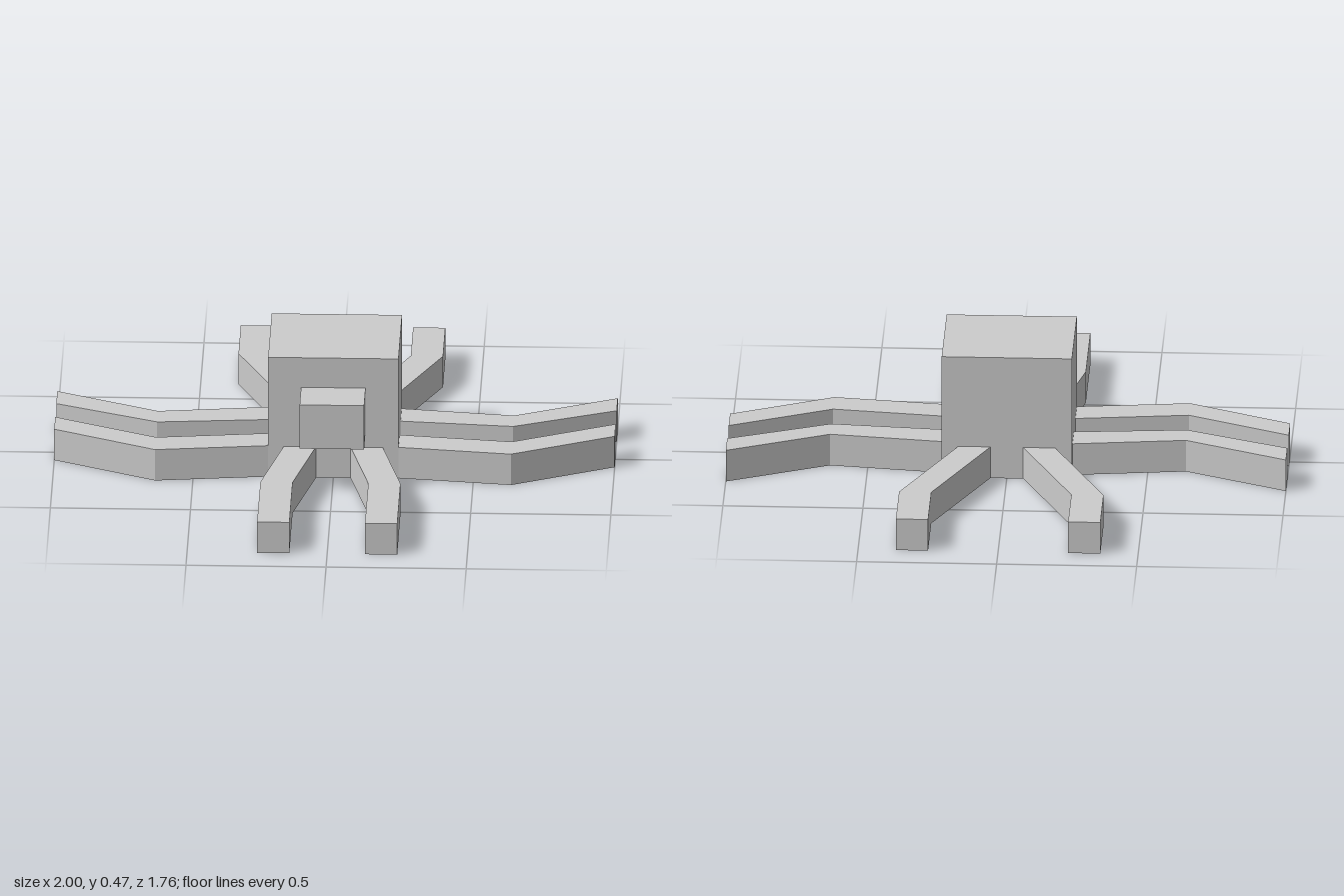
import * as THREE from 'three';

const LEG_HEIGHT = 0.12;

// Leg outlines on the ground plane as [x, z], for the model's left side
const LEGS = {
  frontLeg: [[0.06, 0.19], [0.135, 0.52], [0.135, 0.88], [0.25, 0.88], [0.25, 0.52], [0.175, 0.19]],
  frontSideLeg: [[0.22, 0.08], [0.635, 0.13], [1, -0.04], [1, 0.07], [0.635, 0.242], [0.22, 0.192]],
  rearSideLeg: [[0.22, -0.157], [0.635, -0.105], [1, -0.272], [1, -0.16], [0.635, -0.007], [0.22, -0.043]],
  rearLeg: [[0.055, -0.19], [0.25, -0.63], [0.25, -0.885], [0.365, -0.885], [0.365, -0.63], [0.17, -0.19]],
};

export function createModel() {
  const group = new THREE.Group();
  const grey = new THREE.MeshStandardMaterial({ color: 0xcccccc });
  grey.name = 'grey';

  const add = (name, geometry) => {
    const mesh = new THREE.Mesh(geometry, grey);
    mesh.name = name;
    group.add(mesh);
    return mesh;
  };

  // Body block and protruding head
  add('body', new THREE.BoxGeometry(0.465, 0.465, 0.395)).position.set(0, 0.2325, 0);
  add('head', new THREE.BoxGeometry(0.23, 0.17, 0.165)).position.set(0, 0.265, 0.2725);

  // Four bent legs, mirrored to each side
  for (const [name, outline] of Object.entries(LEGS)) {
    for (const side of [1, -1]) {
      const shape = new THREE.Shape(outline.map(([x, z]) => new THREE.Vector2(side * x, z)));
      const geometry = new THREE.ExtrudeGeometry(shape, { depth: LEG_HEIGHT, bevelEnabled: false });
      geometry.rotateX(Math.PI / 2).translate(0, LEG_HEIGHT, 0);
      add(name + (side > 0 ? 'Left' : 'Right'), geometry);
    }
  }
  return group;
}
